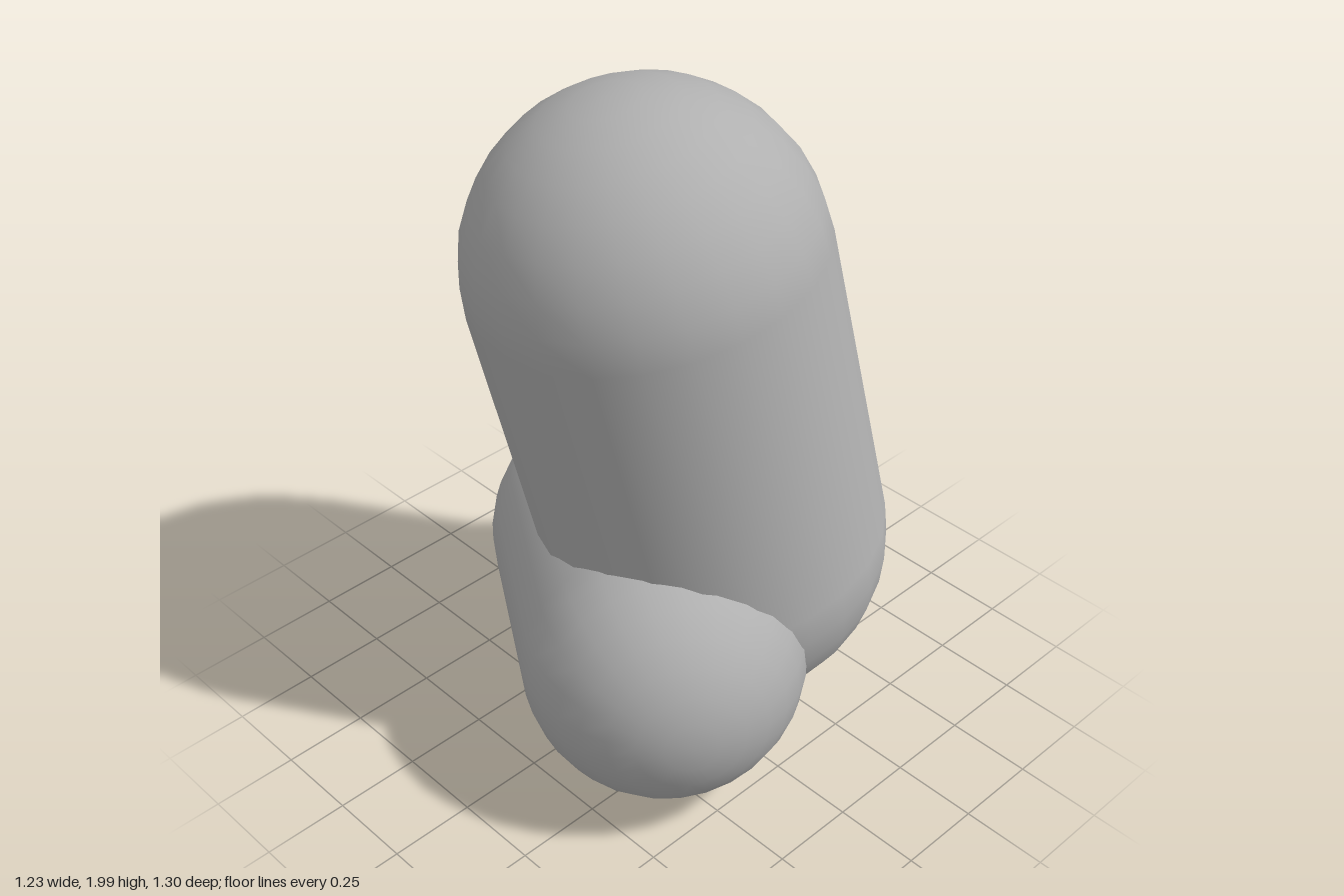
import * as THREE from 'three';

// Smooth capsule whose round ends are centred on points a and b
function capsule(name, a, b, radius, material) {
  const start = new THREE.Vector3(...a);
  const end = new THREE.Vector3(...b);
  const axis = end.clone().sub(start);
  const geometry = new THREE.CapsuleGeometry(radius, axis.length(), 8, 24, 1);
  const mesh = new THREE.Mesh(geometry, material);
  mesh.name = name;
  mesh.position.copy(start).add(end).multiplyScalar(0.5);
  mesh.quaternion.setFromUnitVectors(new THREE.Vector3(0, 1, 0), axis.normalize());
  return mesh;
}

export function createModel() {
  const gray = new THREE.MeshStandardMaterial({ color: 0xb0b0b0 });
  gray.name = 'plain gray';

  const model = new THREE.Group();
  model.name = 'crossedCapsules';

  // Tall leaning body
  model.add(capsule('uprightCapsule', [0.125, 0.59, 0.11], [-0.05, 1.51, 0.01], 0.49, gray));
  // Short capsule lying across its lower end
  model.add(capsule('lyingCapsule', [-0.22, 0.42, 0.25], [0.1, 0.405, -0.25], 0.4, gray));

  return model;
}
